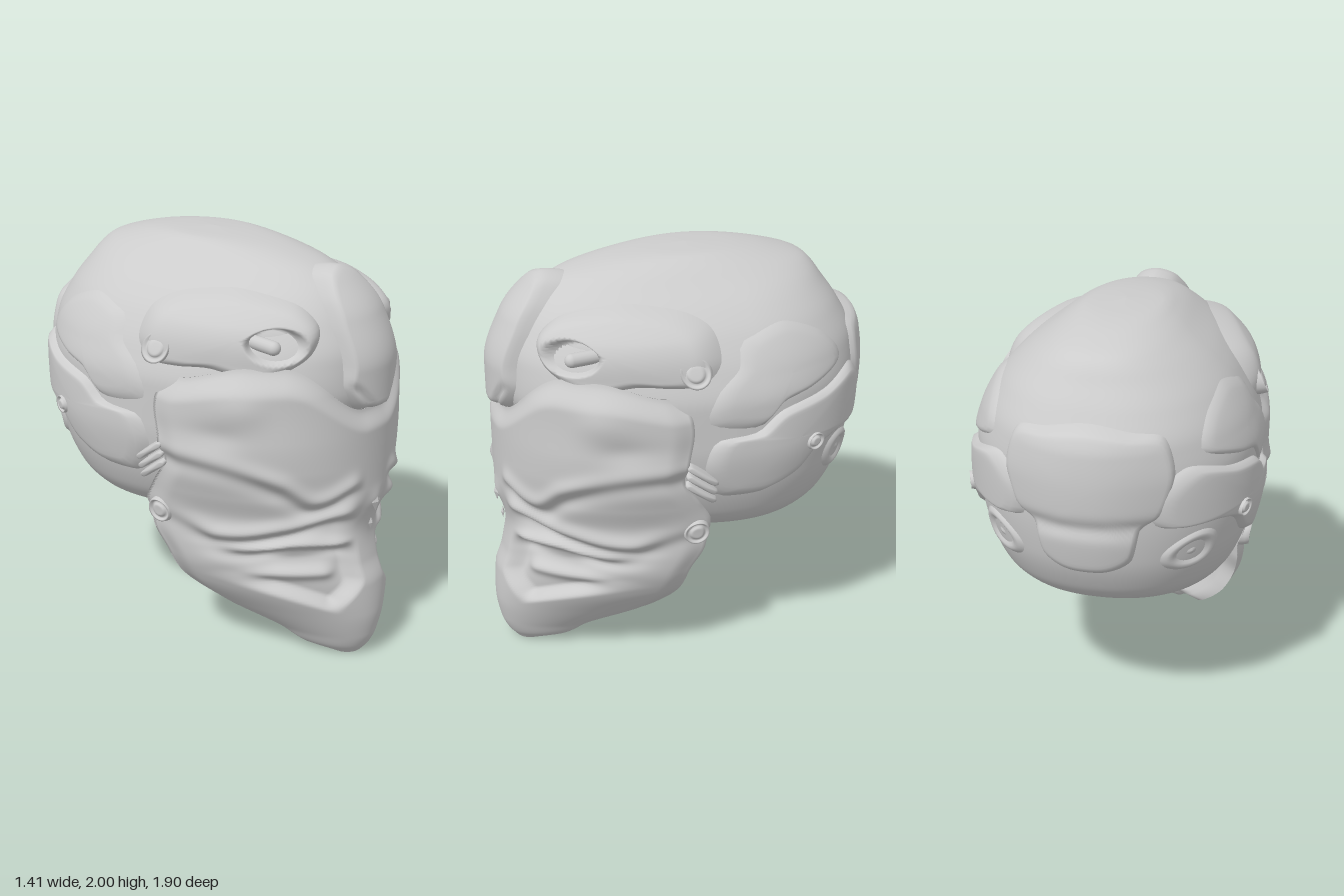
import * as THREE from 'three';

const grey = new THREE.MeshStandardMaterial({ color: 0xcccccc, side: THREE.DoubleSide });
grey.name = 'armour grey';

const clamp = (v, a, b) => Math.min(b, Math.max(a, v));
const smooth = (a, b, v) => { const t = clamp((v - a) / (b - a), 0, 1); return t * t * (3 - 2 * t); };
const bump = (v, c, w) => Math.exp(-(((v - c) / w) ** 2));

// Monotone cubic through [key, value] pairs
function curve(pts) {
  const n = pts.length, s = [], m = [];
  for (let i = 0; i < n - 1; i++) s.push((pts[i + 1][1] - pts[i][1]) / (pts[i + 1][0] - pts[i][0]));
  for (let i = 0; i < n; i++) {
    if (i === 0) m.push(s[0]);
    else if (i === n - 1) m.push(s[n - 2]);
    else m.push(s[i - 1] * s[i] <= 0 ? 0 : (2 * s[i - 1] * s[i]) / (s[i - 1] + s[i]));
  }
  return (v) => {
    v = clamp(v, pts[0][0], pts[n - 1][0]);
    let i = 0;
    while (i < n - 2 && v > pts[i + 1][0]) i++;
    const h = pts[i + 1][0] - pts[i][0], t = (v - pts[i][0]) / h, t2 = t * t, t3 = t2 * t;
    return (2 * t3 - 3 * t2 + 1) * pts[i][1] + (t3 - 2 * t2 + t) * h * m[i]
      + (3 * t2 - 2 * t3) * pts[i + 1][1] + (t3 - t2) * h * m[i + 1];
  };
}

// Grid of points closed around its columns
function grid(rows, cols, point) {
  const pos = [], idx = [];
  for (let i = 0; i <= rows; i++) for (let j = 0; j < cols; j++) pos.push(...point(i / rows, j / cols));
  for (let i = 0; i < rows; i++) for (let j = 0; j < cols; j++) {
    const k = (j + 1) % cols, a = i * cols + j, b = i * cols + k, c = b + cols, d = a + cols;
    idx.push(a, b, c, a, c, d);
  }
  const g = new THREE.BufferGeometry();
  g.setAttribute('position', new THREE.Float32BufferAttribute(pos, 3));
  g.setIndex(idx);
  g.computeVertexNormals();
  return g;
}

// Body described by rows of [y, half width, front z, back z] around a widest line
function body(rows, centre, power) {
  const [w, f, b] = [1, 2, 3].map((k) => curve(rows.map((r) => [r[0], r[k]])));
  const reach = (y, front) => (front ? f(y) - centre(y) : centre(y) - b(y));
  const at = (a, y, off = 0) => {
    const s = Math.sin(a), c = Math.cos(a);
    return [w(y) * Math.sign(s) * Math.abs(s) ** power + off * s, y, centre(y) + reach(y, c > 0) * c + off * c];
  };
  const side = ([z, y]) => {
    const d = z - centre(y);
    return [Math.acos(clamp(d / Math.max(reach(y, d > 0), 0.01), -1, 1)), y];
  };
  return { at, side, w };
}

const skull = body([
  [0.65, 0, -0.3, -0.32], [0.655, 0.26, 0.02, -0.44], [0.68, 0.4, 0.2, -0.55], [0.73, 0.5, 0.4, -0.68],
  [0.83, 0.58, 0.58, -0.77], [1, 0.64, 0.72, -0.84], [1.2, 0.67, 0.8, -0.87], [1.4, 0.67, 0.87, -0.88],
  [1.55, 0.63, 0.86, -0.87], [1.7, 0.55, 0.8, -0.8], [1.8, 0.46, 0.73, -0.73], [1.9, 0.33, 0.59, -0.65],
  [1.96, 0.24, 0.38, -0.47], [1.99, 0.17, 0.16, -0.28], [2, 0, -0.04, -0.06],
], (y) => -0.2 + 0.14 * smooth(1.85, 2, y) - 0.11 * (1 - smooth(0.65, 0.68, y)), 0.9);

const jawBack = curve([[0, 0.78], [0.05, 0.6], [0.13, 0.48], [0.25, 0.22], [0.4, 0.11], [0.52, 0.08],
  [0.65, 0.01], [0.78, -0.01], [0.9, 0.05], [1.05, 0.14], [1.3, 0.1], [1.6, 0.2]]);
const mask = body([
  [0, 0.08, 0.86, 0.4], [0.05, 0.17, 0.9, 0.3], [0.12, 0.23, 0.93, 0.2], [0.25, 0.375, 0.95, 0],
  [0.4, 0.505, 0.94, -0.2], [0.52, 0.56, 0.9, -0.2], [0.65, 0.585, 0.88, -0.2], [0.78, 0.6, 0.9, -0.2],
  [0.9, 0.63, 0.92, -0.2], [1.05, 0.66, 0.92, -0.2], [1.2, 0.68, 0.92, -0.2], [1.4, 0.67, 0.92, -0.2],
  [1.58, 0.63, 0.88, -0.2],
], jawBack, 1);

// Sculpted relief of the face: brow folds, eye hollows, nose strip and mouth
const browLine = curve([[0, 0.84], [0.14, 0.93], [0.32, 0.87], [0.45, 0.97], [0.6, 1.06], [0.7, 1.1]]);
const cheekLine = curve([[0, 0.76], [0.2, 0.78], [0.4, 0.72], [0.53, 0.67], [0.6, 0.76], [0.7, 0.85]]);
const lipLine = curve([[0, 0.58], [0.2, 0.62], [0.35, 0.64], [0.48, 0.6], [0.6, 0.62]]);
function relief(x, y) {
  x = Math.abs(x);
  const fold = (line, amp, w) => { const t = (y - line(x)) / w; return amp * 2.3 * t * Math.exp(-t * t); };
  let d = fold(browLine, 0.02, 0.05) * smooth(0.08, 0.18, x) * (1 - 0.4 * smooth(0.45, 0.6, x));
  d += fold(cheekLine, 0.028, 0.05) * smooth(0.08, 0.2, x) * (1 - 0.7 * smooth(0.52, 0.58, x));
  d += fold(lipLine, 0.02, 0.035) * smooth(0.08, 0.2, x) * smooth(0.57, 0.47, x);
  const inner = 0.07 + 0.1 * smooth(0.45, 0.3, y);
  const low = 0.28 + 0.5 * Math.max(0, x - 0.2);
  d -= 0.07 * smooth(inner, inner + 0.08, x) * smooth(0.54, 0.4, x) * smooth(low, low + 0.07, y) * smooth(0.65, 0.56, y);
  d += 0.035 * bump(y, 0.49 - 0.25 * (x - 0.3) ** 2, 0.035) * smooth(0.15, 0.25, x) * smooth(0.52, 0.4, x);
  d -= 0.035 * bump(x, 0.22, 0.12) * bump(y, 0.7, 0.07);
  d += 0.02 * bump(x, 0.57, 0.06) * bump(y, 1.36, 0.09);
  d -= 0.015 * bump(x, 0.62, 0.05) * bump(y, 1.22, 0.06);
  d += 0.015 * bump(x, 0, 0.05) * bump(y, 0.83, 0.05);
  return d;
}

// Raised plate: rings shrinking from an outline on a surface, with height h(s, a, b)
function plate(at, outline, h, { centre, rings = 12, segs = 56 } = {}) {
  const line = new THREE.CatmullRomCurve3(outline.map(([a, b]) => new THREE.Vector3(a, b, 0)), true, 'catmullrom', 0.4);
  const pts = line.getSpacedPoints(segs).slice(0, segs);
  if (THREE.ShapeUtils.area(pts) < 0) pts.reverse();
  const mid = centre || [0, 1].map((k) => pts.reduce((t, p) => t + p.getComponent(k), 0) / segs);
  return grid(rings, segs, (i, j) => {
    const p = pts[Math.round(j * segs)], s = 1 - i;
    const a = mid[0] + (p.x - mid[0]) * s, b = mid[1] + (p.y - mid[1]) * s;
    return at(a, b, h(s, a, b));
  });
}
const FINE = { rings: 24, segs: 96 };
const dome = (t, edge = 0.12) => (s) => -0.03 + (t + 0.03) * Math.sqrt(smooth(1, 1 - edge, s)) + t * 0.3 * (1 - s * s);

export function createModel() {
  const group = new THREE.Group();
  const add = (name, geo) => {
    const m = new THREE.Mesh(geo, grey);
    m.name = name;
    group.add(m);
    return m;
  };
  const circle = (z, y, r) => Array.from({ length: 16 }, (_, i) => {
    const t = (i / 16) * Math.PI * 2;
    return [z + r * Math.cos(t), y + r * Math.sin(t)];
  });

  add('skull shell', grid(90, 112, (i, j) => skull.at(j * Math.PI * 2, 1.325 - 0.675 * Math.cos(Math.PI * i))));

  // Face mask and jaw: outer sculpted skin, then plain inner skin back round
  const topEdge = (a) => 1.3 + 0.24 * smooth(0.1, 0.75, Math.abs(a)) - 0.08 * smooth(1, 1.5, Math.abs(a));
  const OUT = 0.8;
  add('face mask', grid(130, 180, (i, j) => {
    const outer = j < OUT;
    const a = (outer ? j / OUT - 0.5 : 0.5 - (j - OUT) / (1 - OUT)) * Math.PI * 0.995;
    const y = i * topEdge(a);
    const base = mask.at(a, y);
    const rim = smooth(0, 0.03, i) * smooth(1, 0.97, i);
    const edge = smooth(1.56, 1.4, Math.abs(a));
    const thick = -Math.min(0.1, mask.w(y) * 0.5) * (0.5 + 0.5 * edge) * rim;
    const lip = -0.04 * smooth(0.92, 1, i) - 0.025 * (1 - edge);
    return mask.at(a, y, outer ? relief(base[0], y) * rim + lip : thick + lip);
  }));

  // Forehead crest
  const crestZ = curve([[1.27, 0.92], [1.5, 0.92], [1.72, 0.84], [1.87, 0.71], [1.96, 0.6]]);
  const crestAt = (x, y, off) => [x, y + off * 0.6 * smooth(1.5, 1.9, y), crestZ(y) - 1.6 * x * x + off];
  const half = [[0.09, 1.285], [0.15, 1.34], [0.195, 1.42], [0.19, 1.52], [0.19, 1.7], [0.165, 1.83], [0.1, 1.93]];
  const crestLine = [[0, 1.28], ...half, [0, 1.965], ...half.map(([x, y]) => [-x, y]).reverse()];
  add('forehead crest', plate(crestAt, crestLine, (s, x, y) => {
    const groove = bump(Math.abs(x), 0.06 + (y - 1.31) * 0.8, 0.018) * smooth(1.48, 1.4, y);
    return -0.1 + 0.12 * Math.sqrt(smooth(1, 0.85, s)) - 0.025 * groove;
  }, { ...FINE, centre: [0, 1.62] }));

  // Plate at the back of the head, thinning outwards, with a lower lobe
  const backLine = [[0, 1.68], [0.2, 1.65], [0.36, 1.62], [0.42, 1.45], [0.36, 1.25], [0.25, 1.16], [0.2, 1], [0.08, 0.93]];
  const backAll = [...backLine, ...backLine.slice(1).map(([x, y]) => [-x, y]).reverse()]
    .map(([x, y]) => [Math.PI - Math.asin((x / skull.w(y)) * 0.9), y]);
  add('back plate', plate(skull.at, backAll, (s, a, y) => dome(0.02)(s)
    + 0.04 * bump(a, Math.PI, 0.35) * smooth(1, 0.85, s) - 0.02 * bump(y, 1.2, 0.04), FINE));

  // Small diamonds on the nose bridge
  for (const [y, r] of [[0.825, 0.05], [0.705, 0.03]]) {
    const gem = add('bridge diamond', new THREE.OctahedronGeometry(r));
    gem.scale.set(0.7, 1, 0.3);
    gem.position.set(0, y, 0.92 - (0.825 - y) * 0.2);
  }

  for (const s of [1, -1]) {
    const side = s > 0 ? 'left ' : 'right ';
    const on = (bodyPart, name, outline, h, { centre, ...detail } = {}) => {
      const map = (p) => { const [a, y] = bodyPart.side(p); return [a * s, y]; };
      return add(side + name, plate(bodyPart.at, outline.map(map), h, { ...detail, centre: centre && map(centre) }));
    };
    // Brow pod with a dished socket, fullest along its upper edge
    const socket = skull.side([0.6, 1.64]);
    on(skull, 'brow pod', [[0.75, 1.57], [0.74, 1.7], [0.62, 1.8], [0.35, 1.85], [0.1, 1.82], [-0.03, 1.75],
      [-0.06, 1.6], [0.02, 1.5], [0.17, 1.49], [0.35, 1.5], [0.6, 1.46]], (q, a, y) => {
      const r = Math.hypot((Math.abs(a) - socket[0]) / 0.16, (y - socket[1]) / 0.075);
      return dome(0.02 + 0.045 * smooth(1.48, 1.72, y), 0.3)(q) - 0.075 * smooth(1.1, 0.8, r);
    }, FINE);
    const peg = add(side + 'brow peg', new THREE.CapsuleGeometry(0.033, 0.13, 6, 16));
    peg.position.set(0.43 * s, 1.64, 0.57);
    peg.rotation.set(Math.PI / 2, 0, -0.15 * s);

    // Side armour
    on(skull, 'temple plate', [[0.12, 1.3], [0.08, 1.46], [-0.05, 1.58], [-0.1, 1.71], [-0.35, 1.77], [-0.58, 1.68],
      [-0.7, 1.52], [-0.5, 1.43], [-0.3, 1.38], [-0.15, 1.26]], dome(0.014, 0.3));
    on(skull, 'ear plate', [[0.1, 1.1], [0.06, 0.98], [0, 0.92], [-0.2, 0.92], [-0.38, 1], [-0.5, 1.12], [-0.65, 1.17],
      [-0.82, 1.19], [-0.84, 1.35], [-0.75, 1.48], [-0.55, 1.42], [-0.3, 1.37], [-0.15, 1.27], [0.05, 1.24]],
    dome(0.03, 0.2), { centre: [-0.38, 1.22], segs: 80 });
    on(skull, 'rear swirl', circle(-0.66, 1.03, 0.13), (q) => -0.02 + 0.035 * bump(q, 0.6, 0.25) + 0.025 * bump(q, 0, 0.25));

    // Ringed rivets
    const rivet = (t) => (q) => -0.03 + (t + 0.03) * smooth(1, 0.85, q) - 0.015 * bump(q, 0.6, 0.12);
    on(skull, 'brow rivet', circle(0.1, 1.585, 0.08), rivet(0.055));
    on(skull, 'ear rivet', circle(-0.46, 1.175, 0.05), rivet(0.052));
    on(mask, 'jaw rivet', circle(0.09, 0.755, 0.07), rivet(0.018));

    // Slats behind the cheek
    for (let i = 0; i < 3; i++) {
      const y = 1.09 - i * 0.05;
      on(skull, 'cheek slat', [[0.15, y + 0.03], [0.02, y - 0.07], [0, y - 0.05], [0.13, y + 0.05]], dome(0.04));
    }
  }
  return group;
}
